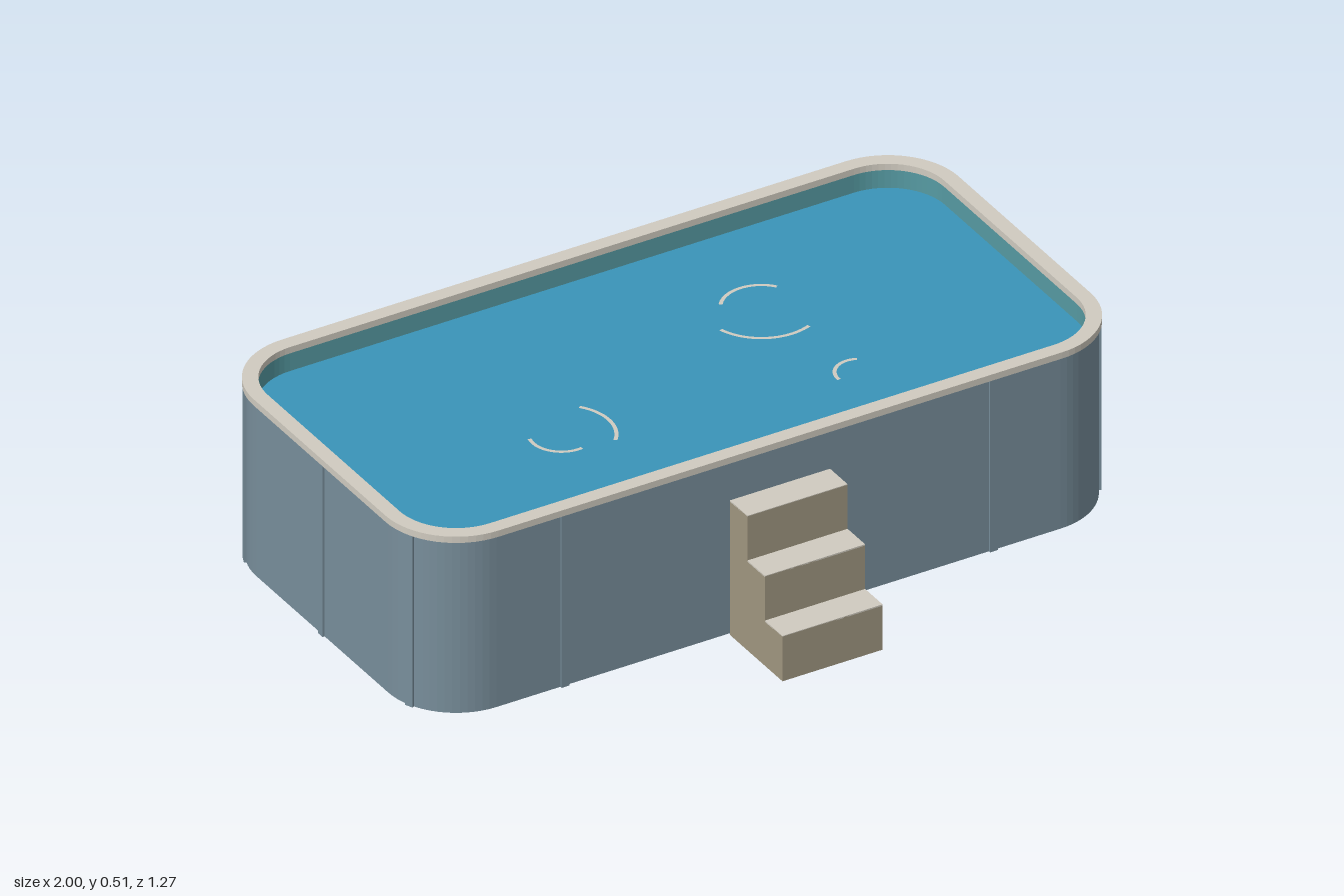
import * as THREE from 'three';

const CZ = -0.124; // pool centre along z

function mat(name, color, side = THREE.FrontSide) {
  const m = new THREE.MeshStandardMaterial({ color, side });
  m.name = name;
  return m;
}

// rounded rectangle outline, half sizes hx, hz
function outline(target, hx, hz, r) {
  target.moveTo(hx, -hz + r);
  target.lineTo(hx, hz - r);
  target.absarc(hx - r, hz - r, r, 0, Math.PI / 2, false);
  target.absarc(-hx + r, hz - r, r, Math.PI / 2, Math.PI, false);
  target.absarc(-hx + r, -hz + r, r, Math.PI, Math.PI * 1.5, false);
  target.absarc(hx - r, -hz + r, r, Math.PI * 1.5, Math.PI * 2, false);
  return target;
}

// band or slab of the pool's plan, inset from the outer edge, between two heights
function poolLayer(inset, width, y0, y1) {
  const at = (i) => [1 - i, 0.513 - i, 0.2 - i];
  const shape = outline(new THREE.Shape(), ...at(inset));
  if (width) shape.holes.push(outline(new THREE.Path(), ...at(inset + width)));
  const g = new THREE.ExtrudeGeometry(shape, { depth: y1 - y0, bevelEnabled: false, curveSegments: 8 });
  g.rotateX(-Math.PI / 2);
  g.translate(0, y0, CZ);
  return g;
}

export function createModel() {
  const wall = mat('slate wall', 0x788e9b);
  const cream = mat('cream trim', 0xd0cbc0);
  const water = mat('water blue', 0x3a94b8);
  const liner = mat('teal liner', 0x569aa2);
  const tan = mat('tan steps', 0xa09680, THREE.DoubleSide);

  const model = new THREE.Group();
  const add = (name, geometry, material, parent = model) => {
    const mesh = new THREE.Mesh(geometry, material);
    mesh.name = name;
    parent.add(mesh);
    return mesh;
  };

  // shell
  add('outerWall', poolLayer(0.008, 0.017, 0, 0.492), wall);
  add('innerLiner', poolLayer(0.025, 0.013, 0.05, 0.492), liner);
  add('poolFloor', poolLayer(0.025, 0, 0.045, 0.055), liner);
  add('topRim', poolLayer(0, 0.04, 0.492, 0.51), cream);
  add('waterSurface', poolLayer(0.037, 0, 0.42, 0.44), water);

  // seam ribs, evenly spaced along the perimeter and mirrored
  const ribs = new THREE.Group();
  ribs.name = 'wallRibs';
  ribs.position.z = CZ;
  model.add(ribs);
  const R = 0.192, cx = 0.8, cz = 0.313, a = 0.41;
  const spots = [
    [0.203, cz + R, 0],
    [0.608, cz + R, 0],
    [cx + R * Math.cos(a), cz + R * Math.sin(a), Math.PI / 2 - a],
    [cx + R, 0, Math.PI / 2],
  ];
  for (const [x, z, turn] of spots) {
    for (const sx of [1, -1]) {
      for (const sz of z ? [1, -1] : [1]) {
        if (x < 0.3 && sz > 0) continue; // steps stand here
        const rib = add('rib', new THREE.BoxGeometry(0.022, 0.492, 0.012), wall, ribs);
        rib.position.set(sx * x, 0.246, sz * z);
        rib.rotation.y = turn * sx * sz;
      }
    }
  }

  // ripples: centre x, centre z, radius, start and end angle in degrees (from +x towards +z)
  const ripples = [
    [0.335, -0.26, 0.1, 217, 323],
    [0.335, -0.26, 0.145, 68, 164],
    [-0.385, -0.005, 0.08, 82, 196],
    [-0.385, -0.005, 0.134, -40, 42],
    [0.385, 0.12, 0.06, 175, 296],
  ];
  for (const [x, z, r, from, to] of ripples) {
    const d = Math.PI / 180;
    const g = new THREE.RingGeometry(r - 0.005, r + 0.005, 24, 1, -to * d, (to - from) * d);
    g.rotateX(-Math.PI / 2);
    add('ripple', g, cream).position.set(x, 0.443, z);
  }

  // steps: hollow shell, open underneath
  const steps = new THREE.Group();
  steps.name = 'entrySteps';
  model.add(steps);
  const half = 0.142, rise = 0.128, run = 0.083, back = 0.388;
  const profile = new THREE.Shape();
  profile.moveTo(back, 0);
  for (let i = 0; i < 3; i++) {
    const z = back + run * (3 - i);
    profile.lineTo(z, rise * i);
    profile.lineTo(z, rise * (i + 1));
    add('riser', new THREE.PlaneGeometry(half * 2, rise), tan, steps).position.set(0, rise * (i + 0.5), z);
    add('tread', new THREE.BoxGeometry(half * 2, 0.004, run), cream, steps)
      .position.set(0, rise * (i + 1), z - run / 2);
    const under = add('treadUnderside', new THREE.PlaneGeometry(half * 2, run), tan, steps);
    under.rotation.x = Math.PI / 2;
    under.position.set(0, rise * (i + 1) - 0.004, z - run / 2);
  }
  profile.lineTo(back, rise * 3);
  for (const s of [1, -1]) {
    const side = add('stepSide', new THREE.ShapeGeometry(profile), tan, steps);
    side.rotation.y = -Math.PI / 2;
    side.position.x = s * half;
  }

  return model;
}
